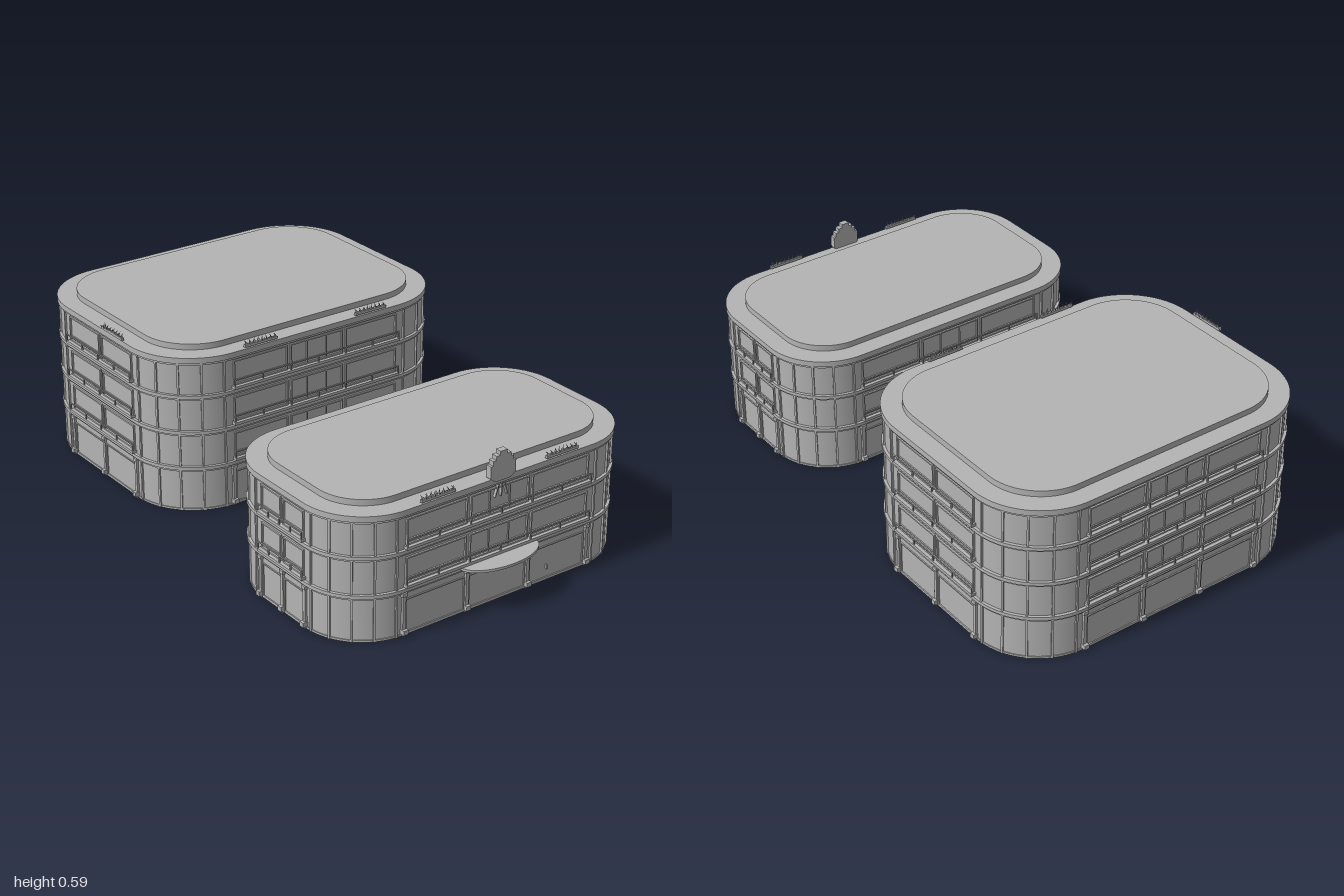
import * as THREE from 'three';
import { toCreasedNormals } from 'three/addons/utils/BufferGeometryUtils.js';

const stone = new THREE.MeshStandardMaterial({ color: 0xb4b4b4 });
stone.name = 'grey stone';

function add(parent, geometry, name, x = 0, y = 0, z = 0) {
  const m = new THREE.Mesh(geometry, stone);
  m.name = name;
  m.position.set(x, y, z);
  parent.add(m);
  return m;
}

// box given by its x, y and z ranges
function block(parent, name, x0, x1, y0, y1, z0, z1) {
  return add(parent, new THREE.BoxGeometry(x1 - x0, y1 - y0, z1 - z0), name,
    (x0 + x1) / 2, (y0 + y1) / 2, (z0 + z1) / 2);
}

// slab with a rounded rectangular plan
function slab(parent, name, w, d, r, y0, y1) {
  const a = w / 2, b = d / 2, s = new THREE.Shape();
  s.moveTo(-a + r, -b);
  s.lineTo(a - r, -b);
  s.absarc(a - r, -b + r, r, -Math.PI / 2, 0);
  s.lineTo(a, b - r);
  s.absarc(a - r, b - r, r, 0, Math.PI / 2);
  s.lineTo(-a + r, b);
  s.absarc(-a + r, b - r, r, Math.PI / 2, Math.PI);
  s.lineTo(-a, -b + r);
  s.absarc(-a + r, -b + r, r, Math.PI, Math.PI * 1.5);
  const g = new THREE.ExtrudeGeometry(s, { depth: y1 - y0, bevelEnabled: false, curveSegments: 12 });
  g.rotateX(-Math.PI / 2);
  return add(parent, toCreasedNormals(g, 0.5), name, 0, y0, 0);
}

// rectangular frame standing out of the wall
function frame(parent, name, x0, x1, y0, y1, t = 0.005, out = 0.006) {
  block(parent, name, x0, x1, y1 - t, y1, -0.004, out);
  block(parent, name, x0, x1, y0, y0 + t, -0.004, out);
  block(parent, name, x0, x0 + t, y0 + t, y1 - t, -0.004, out);
  block(parent, name, x1 - t, x1, y0 + t, y1 - t, -0.004, out);
}

// one straight side: ground-floor bays and framed windows with balcony rails
function facade(length, bays, floors, isFront) {
  const g = new THREE.Group(), h = length / 2, bay = length / bays;
  g.name = 'facade';
  for (let i = 0; i <= bays; i++) {
    const x = -h + i * bay;
    block(g, 'groundPost', x - 0.006, x + 0.006, 0, 0.148, -0.004, 0.008);
    block(g, 'postBase', x - 0.009, x + 0.009, 0.008, 0.024, -0.004, 0.018);
    block(g, 'postCap', x - 0.009, x + 0.009, 0.138, 0.15, -0.004, 0.011);
  }
  for (let i = 0; i < bays; i++) {
    const x = -h + i * bay;
    frame(g, 'groundBay', x + 0.008, x + bay - 0.008, 0.006, 0.125, 0.004, 0.004);
  }
  for (const y of floors) {
    for (let i = 0; i < bays; i++) {
      const x0 = -h + i * bay + 0.006, x1 = x0 + bay - 0.012;
      frame(g, 'windowFrame', x0, x1, y + 0.022, y + 0.112);
      block(g, 'windowTransom', x0, x1, y + 0.038, y + 0.041, -0.004, 0.004);
      if (bays === 3 && i === 1) {
        for (const x of [-0.04, 0.04])
          block(g, 'windowMullion', x - 0.002, x + 0.002, y + 0.026, y + 0.108, -0.004, 0.004);
      }
    }
    block(g, 'balconyRail', -h, h, y + 0.043, y + 0.047, 0.013, 0.017);
    block(g, 'balconySill', -h, h, y + 0.012, y + 0.022, -0.004, 0.018);
    for (let i = 0; i <= bays * 2; i++) {
      const x = -h + 0.002 + i * (length - 0.004) / (bays * 2);
      block(g, 'balconyPost', x - 0.002, x + 0.002, y + 0.02, y + 0.045, 0.013, 0.017);
    }
  }
  if (isFront) block(g, 'doorHandle', 0.203, 0.207, 0.04, 0.056, -0.002, 0.008);
  return g;
}

// row of small spiky leaves
function planting(parent, x, y, z, turn) {
  const g = new THREE.Group();
  g.name = 'planting';
  const n = 22;
  for (let i = 0; i < n; i++) {
    const leaf = add(g, new THREE.ConeGeometry(0.004, 0.022, 4), 'leaf',
      -0.062 + 0.124 * i / (n - 1), 0.009 + 0.002 * Math.sin(i * 2.3), 0.006 * Math.sin(i * 4.1));
    leaf.rotation.set(0.7 * Math.sin(i * 4.1), 0, 0.6 * Math.sin(i * 1.9));
  }
  block(g, 'plantingBed', -0.065, 0.065, -0.003, 0.006, -0.005, 0.005);
  g.position.set(x, y, z);
  g.rotation.y = turn;
  parent.add(g);
}

// half-elliptical entrance canopy
function canopy(parent, x, z, rx, rz) {
  const s = new THREE.Shape();
  s.moveTo(rx, 0.015);
  s.lineTo(rx, 0);
  s.absellipse(0, 0, rx, rz, 0, -Math.PI, true);
  s.lineTo(-rx, 0.015);
  const g = new THREE.ExtrudeGeometry(s, { depth: 0.009, bevelEnabled: false, curveSegments: 24 });
  g.rotateX(-Math.PI / 2);
  add(parent, toCreasedNormals(g, 0.5), 'entranceCanopy', x, 0.158, z);
}

function building(name, w, d, r, bands, top) {
  const g = new THREE.Group();
  g.name = name;
  const inset = 0.01, ww = w - 2 * inset, wd = d - 2 * inset, wr = r - inset;
  slab(g, 'walls', ww, wd, wr, 0, top - 0.01);
  slab(g, 'plinth', ww + 0.006, wd + 0.006, wr + 0.003, 0, 0.007);
  for (const y of bands) {
    slab(g, 'floorBandLower', ww + 0.01, wd + 0.01, wr + 0.005, y - 0.01, y - 0.003);
    slab(g, 'floorBand', w, d, r, y - 0.003, y + 0.009);
  }
  slab(g, 'corniceLower', ww + 0.01, wd + 0.01, wr + 0.005, top - 0.028, top - 0.02);
  slab(g, 'cornice', w, d, r, top - 0.02, top);
  slab(g, 'roofTier', w - 0.13, d - 0.13, r - 0.055, top - 0.005, top + 0.021);

  // four straight sides
  const sides = [[0, wd / 2, w - 2 * r, 3], [Math.PI, wd / 2, w - 2 * r, 3],
    [Math.PI / 2, ww / 2, d - 2 * r, 2], [-Math.PI / 2, ww / 2, d - 2 * r, 2]];
  sides.forEach(([turn, out, length, bays], i) => {
    const f = facade(length, bays, bands, i === 0);
    f.rotation.y = turn;
    f.position.set(Math.sin(turn) * out, 0, Math.cos(turn) * out);
    g.add(f);
  });

  // mullions around each rounded corner
  const levels = [0, ...bands, top - 0.02];
  for (const sx of [-1, 1]) for (const sz of [-1, 1]) for (let k = 0; k < 5; k++) {
    const a = (0.08 + 0.21 * k) * Math.PI / 2;
    for (let j = 0; j < levels.length - 1; j++) {
      const y0 = levels[j], y1 = levels[j + 1];
      const m = add(g, new THREE.BoxGeometry(0.007, y1 - y0, 0.012), 'cornerMullion',
        sx * (ww / 2 - wr + wr * Math.sin(a)), (y0 + y1) / 2, sz * (wd / 2 - wr + wr * Math.cos(a)));
      m.rotation.y = Math.atan2(sx * Math.sin(a), sz * Math.cos(a));
    }
  }
  return g;
}

// stepped fan ornament over the entrance
function crest(parent, z) {
  const g = new THREE.Group();
  g.name = 'crest';
  const steps = [[0.05, 0.44], [0.05, 0.482], [0.041, 0.482], [0.041, 0.498], [0.029, 0.498],
    [0.029, 0.512], [0.014, 0.512], [0.014, 0.525]];
  const s = new THREE.Shape([...steps, ...steps.map(([x, y]) => [-x, y]).reverse(),
    [-0.03, 0.425], [0.03, 0.425]].map(([x, y]) => new THREE.Vector2(x, y)));
  add(g, new THREE.ExtrudeGeometry(s, { depth: 0.022, bevelEnabled: false }), 'crestFan', 0, 0, z - 0.018);
  for (const t of [-0.3, 0, 0.3]) {
    const ray = add(g, new THREE.BoxGeometry(0.004, 0.045, 0.012), 'crestRay', t * 0.06, 0.39, z - 0.006);
    ray.rotation.z = t;
  }
  g.position.x = 0;
  parent.add(g);
}

export function createModel() {
  const model = new THREE.Group();
  model.name = 'twinBuildings';

  const low = building('frontBuilding', 1.18, 0.675, 0.22, [0.157, 0.289], 0.435);
  low.position.set(-0.02, 0, 0.587);
  canopy(low, -0.002, 0.335, 0.152, 0.078);
  crest(low, 0.3375);
  for (const x of [-0.247, 0.247]) planting(low, x, 0.442, 0.332, 0);
  model.add(low);

  const tall = building('rearBuilding', 1.18, 0.905, 0.245, [0.157, 0.289, 0.42], 0.565);
  tall.position.set(0.02, 0, -0.5375);
  canopy(tall, -0.005, 0.45, 0.142, 0.072);
  for (const x of [-0.23, 0.225]) planting(tall, x, 0.572, 0.447, 0);
  planting(tall, -0.59, 0.572, 0.097, Math.PI / 2);
  model.add(tall);
  return model;
}
